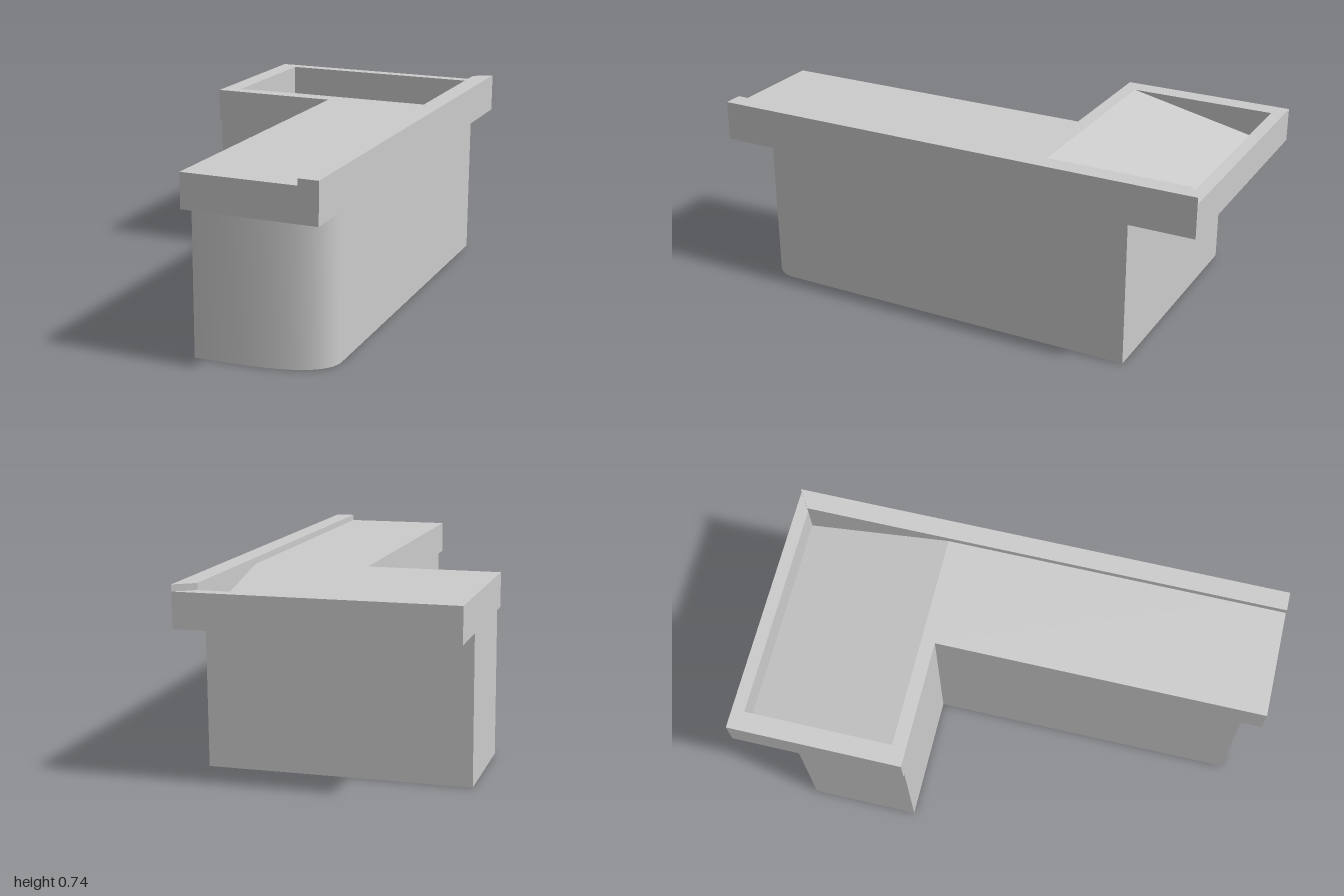
import * as THREE from 'three';
import { toCreasedNormals } from 'three/addons/utils/BufferGeometryUtils.js';

const material = new THREE.MeshStandardMaterial({ color: 0xcccccc });

// Shape from [x, z] plan points
const plan = (points) => new THREE.Shape(points.map(([x, z]) => new THREE.Vector2(x, -z)));

// Raise a plan shape from height y0 to y1
function raise(name, shape, y0, y1) {
  const geo = new THREE.ExtrudeGeometry(shape, { depth: y1 - y0, bevelEnabled: false, curveSegments: 20 });
  geo.rotateX(-Math.PI / 2).translate(0, y0, 0);
  const mesh = new THREE.Mesh(toCreasedNormals(geo, 0.5), material);
  mesh.name = name;
  return mesh;
}

export function createModel() {
  const group = new THREE.Group();
  group.name = 'counter';
  const bottom = 0.577, top = 0.71, railTop = 0.735;

  // L-shaped base with one rounded front corner
  const base = plan([[0, 0.92], [0, -0.31], [-0.505, -0.31], [-0.505, -0.74], [0.5, -0.74], [0.5, 0.74]]);
  base.bezierCurveTo(0.5, -0.88, 0.3, -0.92, 0, -0.92);
  group.add(raise('base', base, 0, bottom));

  // Overhanging L-shaped worktop with a rectangular opening
  const worktop = plan([[-0.517, -1], [-0.517, -0.31], [0, -0.31], [0, 1], [0.517, 1], [0.517, -1]]);
  worktop.holes.push(plan([[-0.44, -0.95], [0.44, -0.95], [0.44, -0.365], [-0.44, -0.365]]));
  group.add(raise('worktop', worktop, bottom, top));

  // Raised edge rail, mitred at the back corner
  const rail = plan([[0.44, 1], [0.517, 1], [0.517, -1], [0.44, -0.95]]);
  group.add(raise('edgeRail', rail, top, railTop));

  // Sloping floor of the recess, deepest at the back
  const wedge = new THREE.Shape([[0.365, top], [0.365, bottom], [0.95, bottom], [0.95, 0.583]]
    .map(([a, y]) => new THREE.Vector2(a, y)));
  const floorGeo = new THREE.ExtrudeGeometry(wedge, { depth: 0.88, bevelEnabled: false });
  floorGeo.rotateY(Math.PI / 2).translate(-0.44, 0, 0);
  const floor = new THREE.Mesh(floorGeo, material);
  floor.name = 'recessFloor';
  group.add(floor);

  return group;
}
